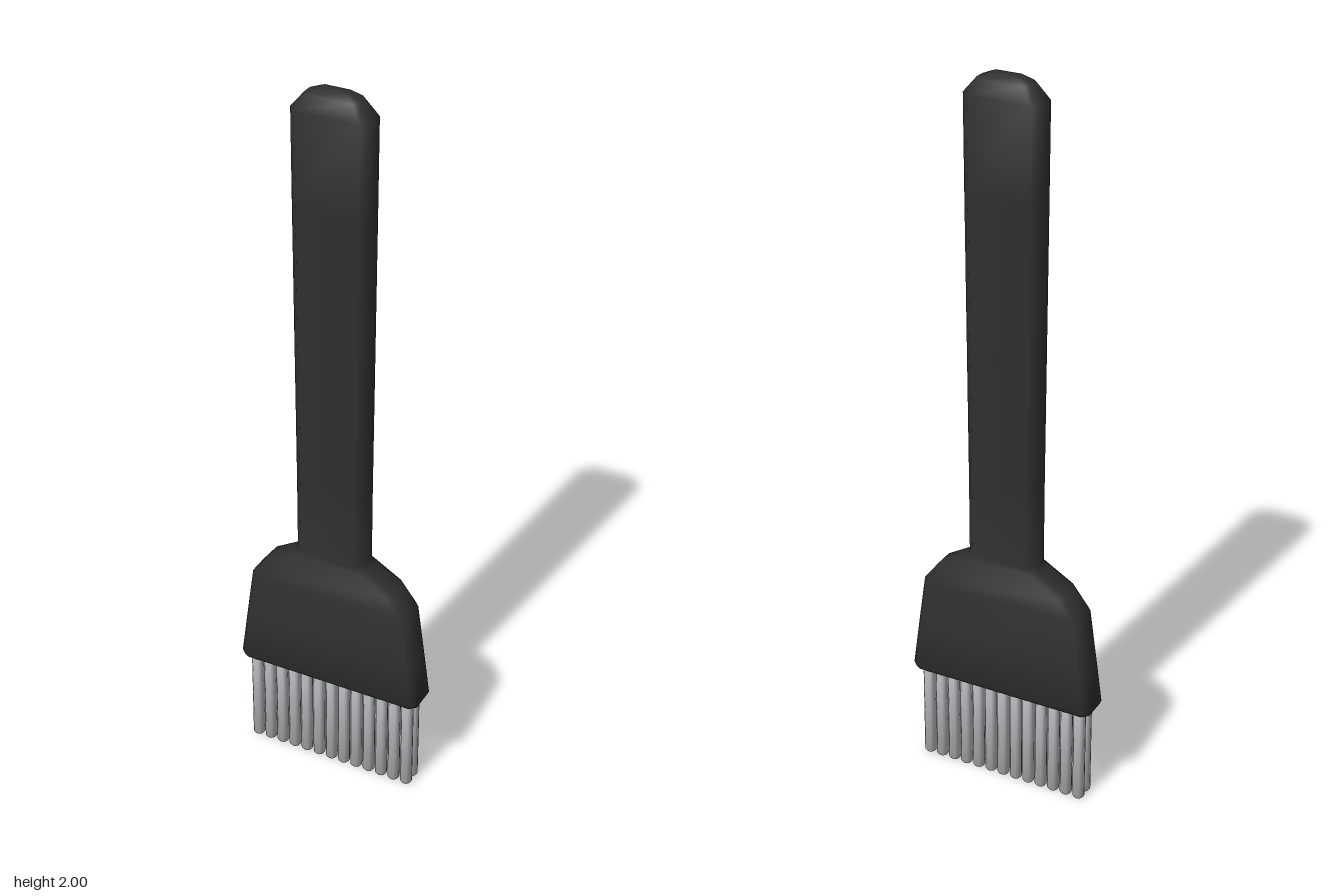
import * as THREE from 'three';
import { toCreasedNormals } from 'three/addons/utils/BufferGeometryUtils.js';

// Closed loft through bevelled rectangles: [y, half width, half depth, bevel]
function loft(sections) {
  const pos = [], index = [], n = 8;
  for (const [y, w, d, b] of sections) {
    const ring = [
      [w, d - b], [w, b - d], [w - b, -d], [b - w, -d],
      [-w, b - d], [-w, d - b], [b - w, d], [w - b, d],
    ];
    for (const [x, z] of ring) pos.push(x, y, z);
  }
  const last = sections.length - 1;
  const bottom = pos.length / 3, top = bottom + 1;
  pos.push(0, sections[0][0], 0, 0, sections[last][0], 0);
  for (let j = 0; j < n; j++) {
    const k = (j + 1) % n;
    for (let i = 0; i < last; i++) {
      const a = i * n + j, b = i * n + k;
      index.push(a, b, b + n, a, b + n, a + n);
    }
    index.push(bottom, k, j, top, last * n + j, last * n + k);
  }
  const geo = new THREE.BufferGeometry();
  geo.setAttribute('position', new THREE.Float32BufferAttribute(pos, 3));
  geo.setIndex(index);
  return toCreasedNormals(geo, 1.1);
}

export function createModel() {
  const black = new THREE.MeshStandardMaterial({ color: 0x303030 });
  black.name = 'black plastic';
  const steel = new THREE.MeshStandardMaterial({ color: 0xc4c8ca });
  steel.name = 'pale steel';

  const model = new THREE.Group();
  model.name = 'prongedTool';

  // Flared head, shoulders and long handle in one piece
  const body = new THREE.Mesh(loft([
    [0.28, 0.262, 0.044, 0.016],
    [0.292, 0.268, 0.05, 0.016],
    [0.41, 0.253, 0.049, 0.017],
    [0.57, 0.232, 0.047, 0.018],
    [0.625, 0.19, 0.046, 0.018],
    [0.675, 0.105, 0.045, 0.018],
    [0.69, 0.097, 0.044, 0.02],
    [0.9, 0.098, 0.043, 0.02],
    [1.3, 0.101, 0.043, 0.02],
    [1.7, 0.104, 0.043, 0.02],
    [1.945, 0.106, 0.042, 0.02],
    [1.985, 0.073, 0.028, 0.014],
    [2.0, 0.04, 0.014, 0.007],
  ]), black);
  body.name = 'headAndHandle';
  model.add(body);

  // Two rows of round prongs with softened tips
  const prongs = new THREE.Group();
  prongs.name = 'prongs';
  const profile = [[0, 0], [0.012, 0], [0.0165, 0.006], [0.0165, 0.29]];
  const prongGeo = toCreasedNormals(
    new THREE.LatheGeometry(profile.map(([r, y]) => new THREE.Vector2(r, y)), 12), 0.8);
  for (const z of [-0.018, 0.018]) {
    for (let i = 0; i < 13; i++) {
      const prong = new THREE.Mesh(prongGeo, steel);
      prong.name = 'prong';
      prong.position.set((i - 6) * 0.0383, 0, z);
      prongs.add(prong);
    }
  }
  model.add(prongs);
  return model;
}
